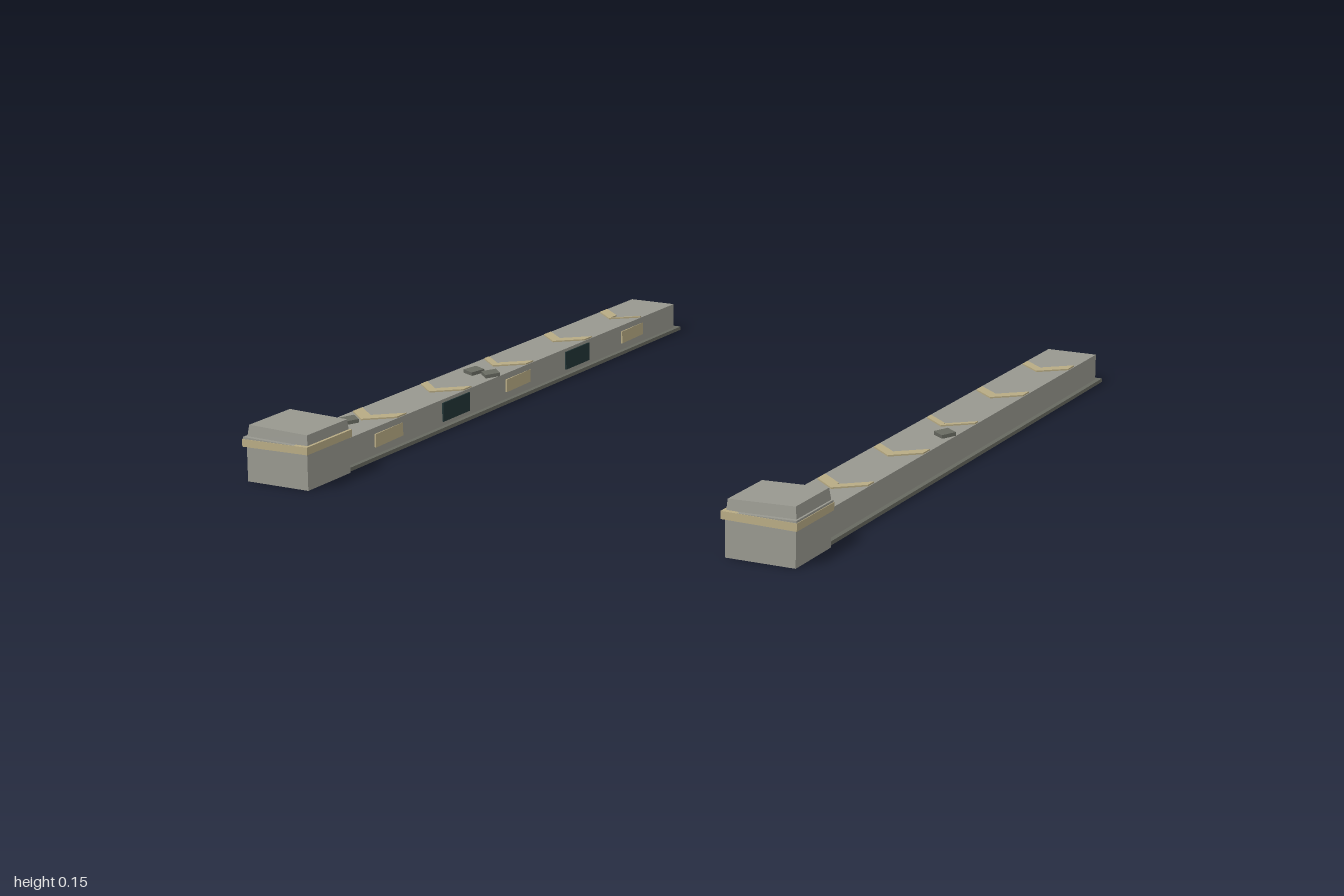
import * as THREE from 'three';

const material = (name, color) => {
  const m = new THREE.MeshStandardMaterial({ color });
  m.name = name;
  return m;
};

export function createModel() {
  const stone = material('stone grey', 0x98988f);
  const darkStone = material('dark stone', 0x676960);
  const tan = material('worn tan', 0xb8ab84);
  const teal = material('dark teal', 0x223536);

  const add = (parent, name, geometry, mat, x, y, z) => {
    const mesh = new THREE.Mesh(geometry, mat);
    mesh.name = name;
    mesh.position.set(x, y, z);
    parent.add(mesh);
    return mesh;
  };
  const box = (parent, name, mat, w, h, d, x, y, z) =>
    add(parent, name, new THREE.BoxGeometry(w, h, d), mat, x, y, z);

  // One chevron arm, running back from the tip at (0, z)
  const chevronArm = (parent, dir, z, width, length) => {
    const s = new THREE.Shape();
    s.moveTo(0, 0);
    s.lineTo(dir * length, length * 0.9);
    s.lineTo(dir * length, length * 0.9 + width);
    s.lineTo(0, width);
    s.closePath();
    const g = new THREE.ExtrudeGeometry(s, { depth: 0.006, bevelEnabled: false });
    g.rotateX(-Math.PI / 2);
    add(parent, 'chevronArm', g, tan, 0, 0.081, z);
  };

  // Wall segment; inner is the x direction facing the other wall
  const wall = (name, x, inner, arms, rubble) => {
    const g = new THREE.Group();
    g.name = name;
    g.position.x = x;

    // Plate with a lighter underside (fourth box face)
    const plateFaces = [darkStone, darkStone, darkStone, stone, darkStone, darkStone];
    box(g, 'basePlate', plateFaces, 0.172, 0.01, 1.8, 0, 0.005, -0.1);
    box(g, 'beam', stone, 0.145, 0.081, 1.79, 0, 0.0425, -0.085);

    // End post: body, tan trim under a tilted lip, and a slightly tapered cap
    box(g, 'postBody', stone, 0.186, 0.112, 0.188, 0, 0.056, 0.896);
    box(g, 'postTrim', tan, 0.2, 0.02, 0.2, 0, 0.105, 0.9).rotation.z = inner * 0.015;
    box(g, 'postLip', stone, 0.197, 0.014, 0.197, 0, 0.11, 0.9).rotation.z = -inner * 0.02;
    const capShape = new THREE.CylinderGeometry(0.178 / Math.SQRT2, 0.186 / Math.SQRT2, 0.036, 4, 1)
      .rotateY(Math.PI / 4).toNonIndexed();
    capShape.computeVertexNormals();
    add(g, 'postCap', capShape, stone, 0, 0.128, 0.894).rotation.z = -inner * 0.03;

    // Alternating inlays along the inner face
    for (let i = 0; i < 5; i++) {
      const z = 0.59 - i * 0.3275;
      const dark = i % 2 === 1;
      const panel = box(g, dark ? 'darkPanel' : 'tanPanel', dark ? teal : tan,
        0.006, dark ? 0.052 : 0.036, 0.135, inner * (dark ? 0.0735 : 0.072), 0.048, z);
      if (!dark) panel.rotation.y = 0.03;
    }

    // Chevrons on the top, pointing forward
    arms.forEach(([left, right], i) => {
      const z = -0.71 + i * 0.33;
      chevronArm(g, -1, z, left, 0.066);
      chevronArm(g, 1, z, right, 0.07);
    });

    // Loose flat stones, set at a slight tilt
    for (const [sx, sz, turn] of rubble) {
      box(g, 'stoneChip', darkStone, 0.042, 0.01, 0.042, sx, 0.09, sz)
        .rotation.set(0.05, Math.PI / 4 + turn, 0.05);
    }
    return g;
  };

  const model = new THREE.Group();
  model.name = 'pairOfLowWalls';
  model.add(
    wall('rightWall', -0.688, 1,
      [[0.045, 0.008], [0.04, 0.042], [0.026, 0.04], [0.032, 0.04], [0.044, 0.046]],
      [[-0.007, 0.04, 0.35], [0.051, 0.045, 0.05], [-0.015, 0.645, 0.1]]),
    wall('leftWall', 0.685, -1,
      [[0.036, 0.045], [0.04, 0.042], [0.026, 0.02], [0.036, 0.042], [0.045, 0.034]],
      [[0.047, 0.03, 0.15]])
  );
  return model;
}
